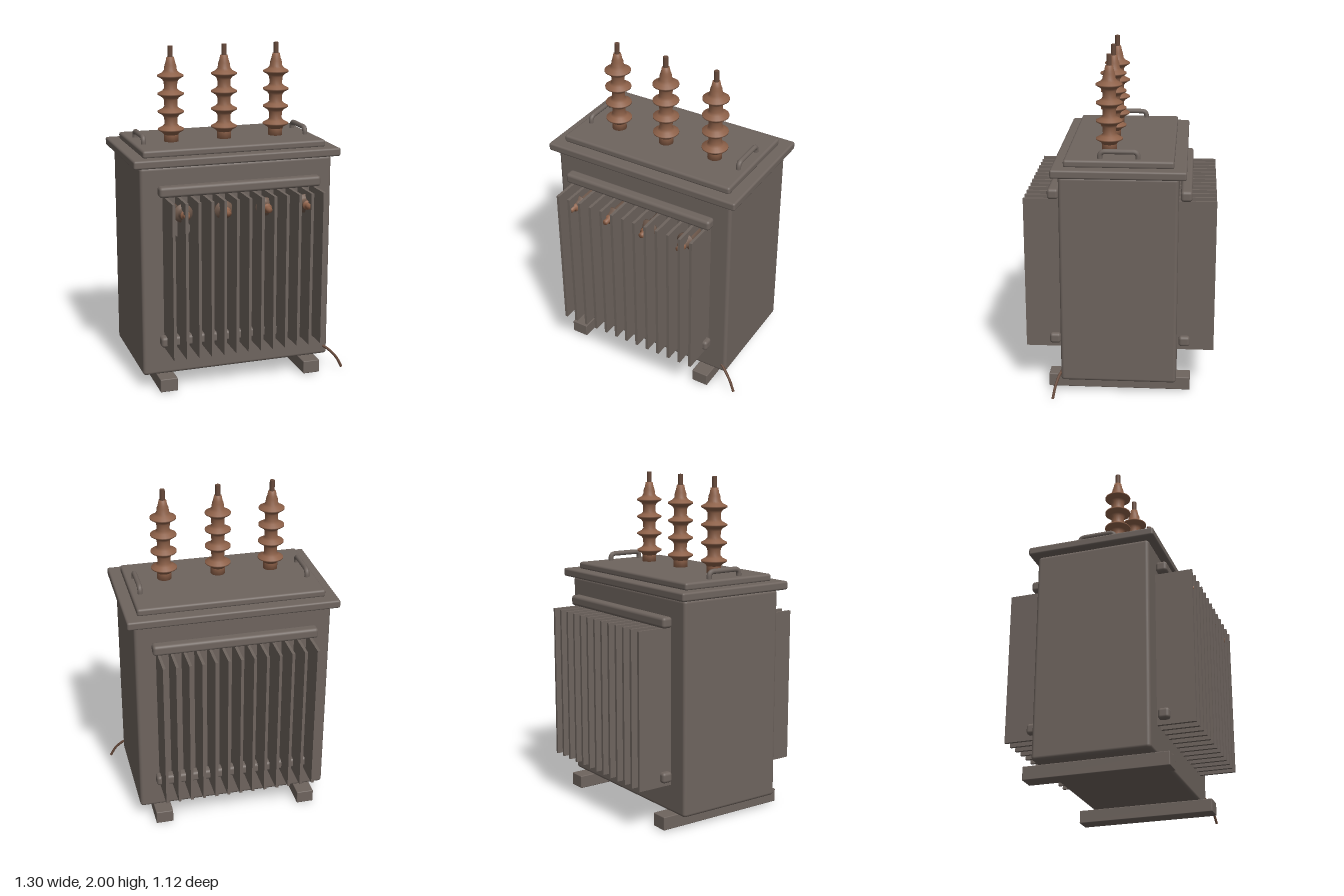
import * as THREE from 'three';
import { RoundedBoxGeometry } from 'three/addons/geometries/RoundedBoxGeometry.js';

const mat = (name, color) => {
  const m = new THREE.MeshStandardMaterial({ color });
  m.name = name;
  return m;
};

export function createModel() {
  const steel = mat('greyBrownSteel', 0x6e645e);
  const porcelain = mat('brownPorcelain', 0x8c6048);
  const copper = mat('darkCopper', 0x66493a);
  const skirtMat = mat('dullPorcelain', 0x6e584b);
  const plateMat = mat('namePlateBronze', 0x75665b);

  const model = new THREE.Group();
  model.name = 'transformer';
  const CX = -0.026; // centre line of the tank

  const add = (name, geo, material, x, y, z, parent = model) => {
    const mesh = new THREE.Mesh(geo, material);
    mesh.name = name;
    mesh.position.set(x, y, z);
    parent.add(mesh);
    return mesh;
  };
  const rbox = (w, h, d, r) => new RoundedBoxGeometry(w, h, d, 3, r);
  const lathe = (pts) => new THREE.LatheGeometry(pts.map(([r, y]) => new THREE.Vector2(r, y)), 24);

  // Tank, lid flange and raised cover
  add('tank', rbox(1.17, 1.26, 0.68, 0.02), steel, CX, 0.72, 0);
  add('lidFlange', rbox(1.255, 0.05, 0.765, 0.012), steel, CX, 1.375, -0.002);
  add('lidCover', rbox(1.115, 0.045, 0.625, 0.014), steel, CX, 1.418, 0);

  // Skids
  for (const x of [-0.477, 0.424]) add('skid', rbox(0.105, 0.08, 0.845, 0.005), steel, x, 0.05, 0);

  // Cooling radiators, front and back
  for (const side of [1, -1]) {
    const radiator = new THREE.Group();
    radiator.name = side > 0 ? 'frontRadiator' : 'backRadiator';
    model.add(radiator);
    for (const y of [1.216, 0.315])
      add('header', rbox(0.98, 0.063, 0.066, 0.018), steel, CX, y, side * 0.384, radiator);
    for (let i = 0; i < 13; i++)
      add('fin', new THREE.BoxGeometry(0.017, 0.925, 0.22), steel, -0.474 + i * 0.0752, 0.72, side * 0.449, radiator);
  }

  // Lifting handles on the lid
  const handlePath = new THREE.CurvePath();
  const v = (y, z) => new THREE.Vector3(0, y, z);
  handlePath.add(new THREE.LineCurve3(v(1.42, 0.108), v(1.45, 0.108)));
  handlePath.add(new THREE.QuadraticBezierCurve3(v(1.45, 0.108), v(1.481, 0.108), v(1.481, 0.077)));
  handlePath.add(new THREE.LineCurve3(v(1.481, 0.077), v(1.481, -0.077)));
  handlePath.add(new THREE.QuadraticBezierCurve3(v(1.481, -0.077), v(1.481, -0.108), v(1.45, -0.108)));
  handlePath.add(new THREE.LineCurve3(v(1.45, -0.108), v(1.42, -0.108)));
  for (const x of [-0.53, 0.479])
    add('liftingHandle', new THREE.TubeGeometry(handlePath, 48, 0.015, 10), steel, x, 0, 0);

  // High-voltage bushings: stacked skirts on a tapering core
  const profile = [[0, 1.43], [0.043, 1.43], [0.043, 1.487]];
  for (const y of [1.512, 1.617, 1.722, 1.828])
    profile.push([0.04, y - 0.035], [0.05, y - 0.02], [0.077, y - 0.004], [0.077, y + 0.004], [0.05, y + 0.018], [0.038, y + 0.032]);
  profile.push([0.034, 1.89], [0.028, 1.905], [0.022, 1.935], [0, 1.937]);
  const bushingGeo = lathe(profile);
  for (const x of [-0.352, -0.025, 0.302]) {
    const bushing = new THREE.Group();
    bushing.name = 'highVoltageBushing';
    model.add(bushing);
    add('insulator', bushingGeo, porcelain, x, 0, 0.067, bushing);
    add('terminalRod', new THREE.CylinderGeometry(0.015, 0.015, 0.08, 14), copper, x, 1.96, 0.067, bushing);
  }

  // Low-voltage bushings pointing forward between the fins
  const neck = lathe([[0, 0], [0.032, 0], [0.032, 0.105], [0.04, 0.115], [0.055, 0.122], [0.055, 0.129], [0.038, 0.14], [0.03, 0.15], [0.028, 0.17]]);
  const tip = lathe([[0.028, 0.17], [0.026, 0.18], [0.016, 0.183], [0.016, 0.213], [0, 0.213]]);
  for (const x of [-0.394, -0.152, 0.095, 0.341]) {
    const bushing = new THREE.Group();
    bushing.name = 'lowVoltageBushing';
    bushing.position.set(x, 1.103, 0.335);
    bushing.rotation.x = Math.PI / 2;
    model.add(bushing);
    add('insulatorNeck', neck, skirtMat, 0, 0, 0, bushing);
    add('insulatorTip', tip, porcelain, 0, 0, 0, bushing);
  }

  // Round gauge and name plate on the tank front
  add('gauge', new THREE.CylinderGeometry(0.052, 0.052, 0.05, 28), steel, -0.382, 0.99, 0.36).rotation.x = Math.PI / 2;
  add('namePlate', new THREE.BoxGeometry(0.18, 0.15, 0.008), plateMat, 0.288, 0.832, 0.343);

  // Earthing cable at the lower corner
  const cable = new THREE.CatmullRomCurve3([
    new THREE.Vector3(0.53, 0.145, 0.335), new THREE.Vector3(0.565, 0.12, 0.352),
    new THREE.Vector3(0.61, 0.07, 0.37), new THREE.Vector3(0.642, 0.008, 0.382),
  ]);
  add('earthCable', new THREE.TubeGeometry(cable, 20, 0.008, 8), copper, 0, 0, 0);

  return model;
}
